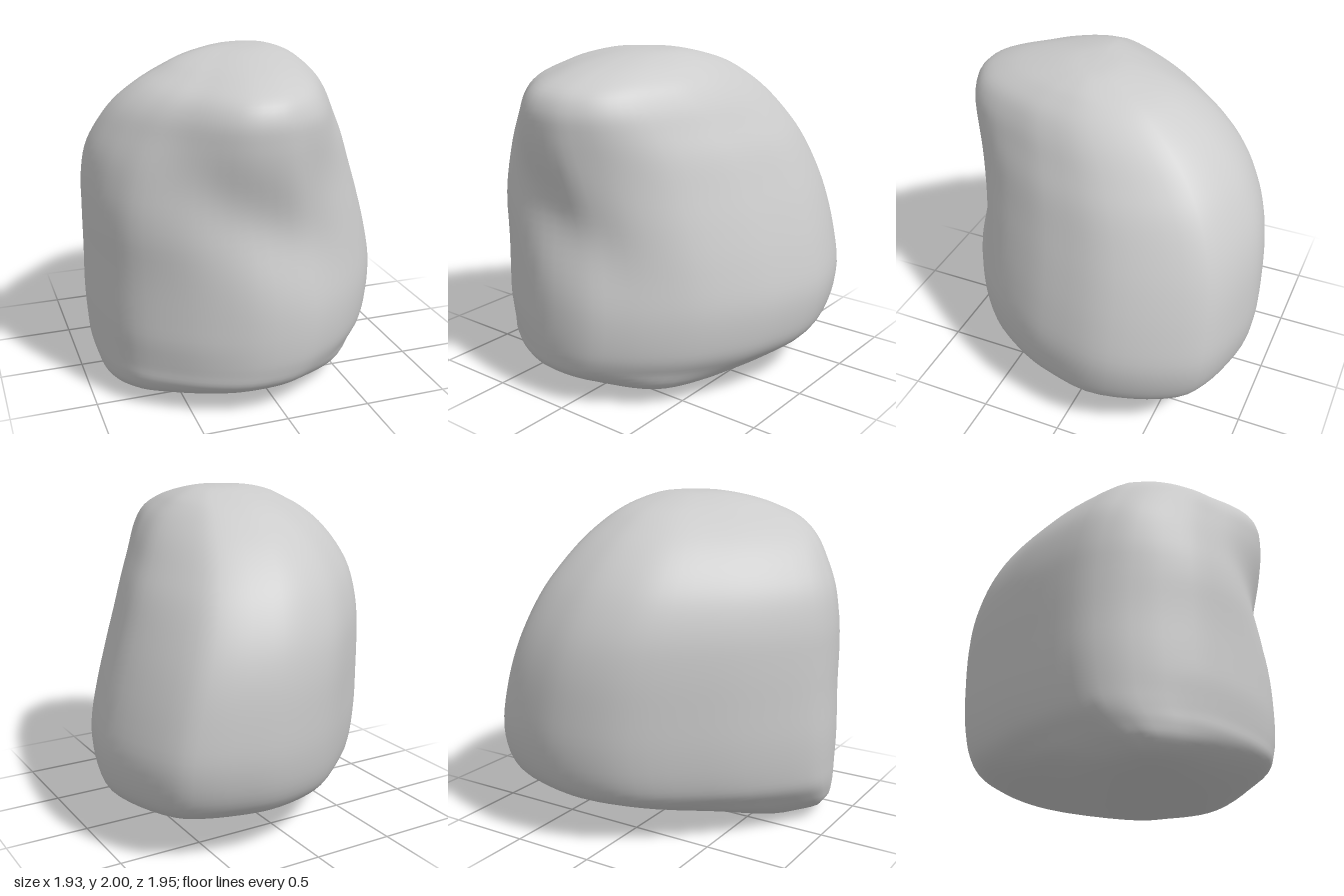
import * as THREE from 'three';
import { mergeVertices } from 'three/addons/utils/BufferGeometryUtils.js';

const SIDES = 72, STEPS = 4;
const { smoothstep } = THREE.MathUtils;

// Plan outline [x, z] on a unit box, running left, back, right, front
const OUTLINE = [
  [-1, 0.12], [-0.95, -0.09], [-0.71, -0.41], [-0.46, -0.65], [-0.2, -0.86], [0.02, -0.96],
  [0.26, -1], [0.47, -0.97], [0.68, -0.9], [0.83, -0.79], [0.95, -0.53], [1, -0.24],
  [0.94, 0.06], [0.86, 0.28], [0.7, 0.55], [0.52, 0.74], [0.33, 0.88], [0.13, 0.98],
  [-0.15, 1], [-0.41, 0.92], [-0.62, 0.8], [-0.81, 0.64], [-0.91, 0.47], [-0.97, 0.31],
];

// Extents of the rock by height: [y, xMin, xMax, zMin, zMax]
const LEVELS = [
  [0, -0.3, -0.3, 0.3, 0.3],
  [0.005, -0.62, 0.1, 0.08, 0.48],
  [0.04, -0.81, 0.4, -0.1, 0.65],
  [0.11, -0.9, 0.62, -0.36, 0.82],
  [0.19, -0.935, 0.77, -0.64, 0.935],
  [0.28, -0.955, 0.89, -0.83, 0.965],
  [0.4, -0.96, 0.945, -0.92, 0.975],
  [0.6, -0.965, 0.965, -0.965, 0.975],
  [0.83, -0.96, 0.92, -0.97, 0.97],
  [1.06, -0.96, 0.85, -0.955, 0.97],
  [1.26, -0.96, 0.775, -0.91, 0.975],
  [1.45, -0.935, 0.695, -0.825, 0.98],
  [1.6, -0.87, 0.61, -0.72, 0.98],
  [1.73, -0.78, 0.53, -0.59, 0.97],
  [1.83, -0.66, 0.45, -0.45, 0.91],
  [1.9, -0.52, 0.37, -0.32, 0.76],
  [1.95, -0.4, 0.29, -0.17, 0.57],
  [1.99, -0.22, 0.17, 0, 0.34],
  [2, 0, 0, 0.15, 0.15],
];

const curve = (points, closed) => new THREE.CatmullRomCurve3(points, closed, 'catmullrom', 0.5);
const bell = (value, centre, width) => Math.exp(-(((value - centre) / width) ** 2));

// How far the side is pressed in (or swells, if negative) at an angle round the plan
// (0 = +x, front = PI / 2)
function dent(angle, y) {
  const underBrow = 0.085 * bell(y, 1.1 + 0.4 * (angle - 1.5), 0.3) * bell(angle, 1.62, 0.5);
  const brow = -0.07 * bell(y, 1.72, 0.25) * bell(angle, 1.02, 0.35);
  const shoulder = 0.13 * smoothstep(y, 1.0, 1.75) * bell(angle, 2.36, 0.5);
  const foot = 0.05 * (1 - smoothstep(y, 0.1, 0.5)) * bell(angle, 2.3, 0.55);
  const keel = -0.22 * (1 - smoothstep(y, 0, 0.25)) * (bell(angle, 0.75, 0.5) + bell(angle, -2.36, 0.5));
  return underBrow + brow + shoulder + foot + keel;
}

function rockGeometry() {
  const plan = curve(OUTLINE.map(([x, z]) => new THREE.Vector3(x, 0, z)), true);
  const xRange = curve(LEVELS.map(([y, a, b]) => new THREE.Vector3(a, y, b)), false);
  const zRange = curve(LEVELS.map(([y, , , a, b]) => new THREE.Vector3(a, y, b)), false);
  const rows = (LEVELS.length - 1) * STEPS;
  const positions = [], index = [];

  for (let r = 0; r <= rows; r++) {
    const xs = xRange.getPoint(r / rows), zs = zRange.getPoint(r / rows);
    for (let s = 0; s < SIDES; s++) {
      const p = plan.getPoint(s / SIDES);
      p.multiplyScalar(1 - dent(Math.atan2(p.z, p.x), xs.y));
      positions.push(
        (xs.x + xs.z) / 2 + p.x * (xs.z - xs.x) / 2,
        Math.min(2, Math.max(0, xs.y)),
        (zs.x + zs.z) / 2 + p.z * (zs.z - zs.x) / 2
      );
      if (r < rows) {
        const a = r * SIDES + s, b = r * SIDES + (s + 1) % SIDES;
        index.push(a, a + SIDES, b, b, a + SIDES, b + SIDES);
      }
    }
  }
  const geometry = new THREE.BufferGeometry();
  geometry.setAttribute('position', new THREE.Float32BufferAttribute(positions, 3));
  geometry.setIndex(index);
  const merged = mergeVertices(geometry, 1e-4); // joins the top and bottom poles
  merged.computeVertexNormals();
  return merged;
}

export function createModel() {
  const group = new THREE.Group();
  group.name = 'boulder';
  const rock = new THREE.Mesh(rockGeometry(), new THREE.MeshStandardMaterial({ color: 0xcccccc }));
  rock.name = 'rock';
  group.add(rock);
  return group;
}
